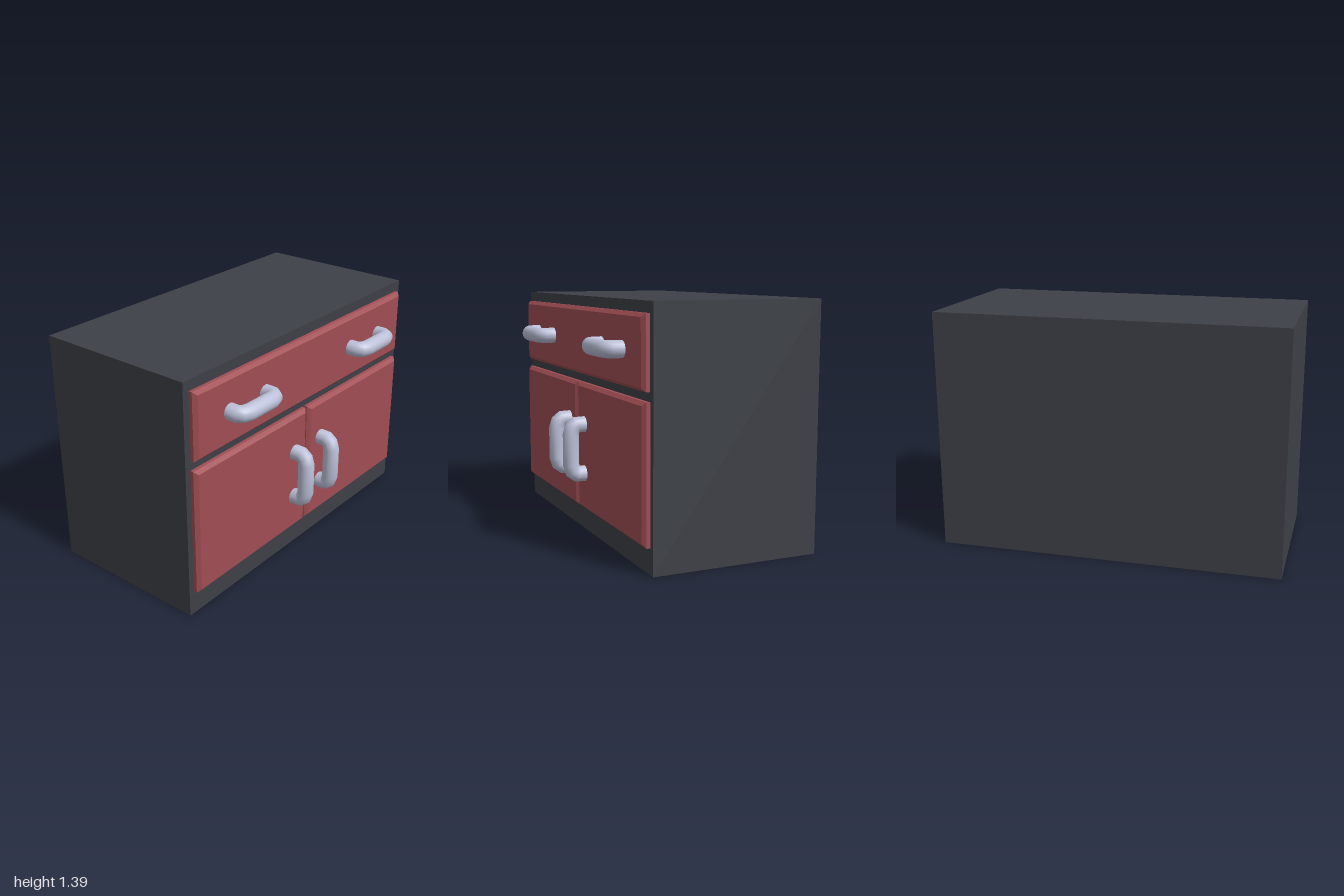
import * as THREE from 'three';

const bodyMaterial = new THREE.MeshStandardMaterial({ color: 0x3d4047 });
const panelMaterial = new THREE.MeshStandardMaterial({ color: 0xa04e54 });
const handleMaterial = new THREE.MeshStandardMaterial({ color: 0xbcc0d8 });

const FRONT = 0.4; // z of the cabinet face
const BEVEL = 0.02;

// Follows its points one by one, with averaged directions at the bends
class BentPath extends THREE.Curve {
  constructor(points) {
    super();
    this.points = points;
  }
  getPointAt(u) {
    return this.points[Math.round(u * (this.points.length - 1))].clone();
  }
  getTangentAt(u) {
    const p = this.points;
    const i = Math.round(u * (p.length - 1));
    const t = new THREE.Vector3();
    if (i > 0) t.add(p[i].clone().sub(p[i - 1]).normalize());
    if (i < p.length - 1) t.add(p[i + 1].clone().sub(p[i]).normalize());
    return t.normalize();
  }
}

// Rectangular front with a chamfered rim; the rear chamfer sits inside the body
function makePanel(name, x0, x1, y0, y1) {
  const shape = new THREE.Shape([
    new THREE.Vector2(x0 + BEVEL, y0 + BEVEL),
    new THREE.Vector2(x1 - BEVEL, y0 + BEVEL),
    new THREE.Vector2(x1 - BEVEL, y1 - BEVEL),
    new THREE.Vector2(x0 + BEVEL, y1 - BEVEL),
  ]);
  const geometry = new THREE.ExtrudeGeometry(shape, {
    depth: 0.02, bevelThickness: BEVEL, bevelSize: BEVEL, bevelSegments: 1,
  });
  const mesh = new THREE.Mesh(geometry, panelMaterial);
  mesh.name = name;
  mesh.position.z = FRONT;
  return mesh;
}

// Upright pull handle, bent at both ends
function makeHandleGeometry() {
  const half = [[0.145, 0.02], [0.145, 0.088], [0.127, 0.112], [0.09, 0.123]];
  const points = half.map(([y, z]) => new THREE.Vector3(0, y, z));
  for (const [y, z] of [...half].reverse()) points.push(new THREE.Vector3(0, -y, z));
  return new THREE.TubeGeometry(new BentPath(points), points.length - 1, 0.047, 20);
}

export function createModel() {
  const model = new THREE.Group();
  model.name = 'cabinet';

  // Plain closed body
  const body = new THREE.Mesh(new THREE.BoxGeometry(2, 1.39, 0.97), bodyMaterial);
  body.name = 'body';
  body.position.set(0, 0.695, FRONT - 0.485);
  model.add(body);

  // Wide drawer above two doors
  model.add(
    makePanel('drawerFront', -0.958, 0.958, 0.94, 1.33),
    makePanel('rightDoor', -0.965, -0.008, 0.142, 0.89),
    makePanel('leftDoor', 0.008, 0.965, 0.142, 0.89),
  );

  // Upright handles on the doors, level ones on the drawer
  const handleGeometry = makeHandleGeometry();
  for (const side of [-1, 1]) {
    const label = side > 0 ? 'left' : 'right';
    const doorHandle = new THREE.Mesh(handleGeometry, handleMaterial);
    doorHandle.name = label + 'DoorHandle';
    doorHandle.position.set(side * 0.125, 0.51, FRONT);

    const drawerHandle = new THREE.Mesh(handleGeometry, handleMaterial);
    drawerHandle.name = label + 'DrawerHandle';
    drawerHandle.position.set(side * 0.553, 1.135, FRONT);
    drawerHandle.rotation.z = Math.PI / 2;
    model.add(doorHandle, drawerHandle);
  }
  return model;
}
